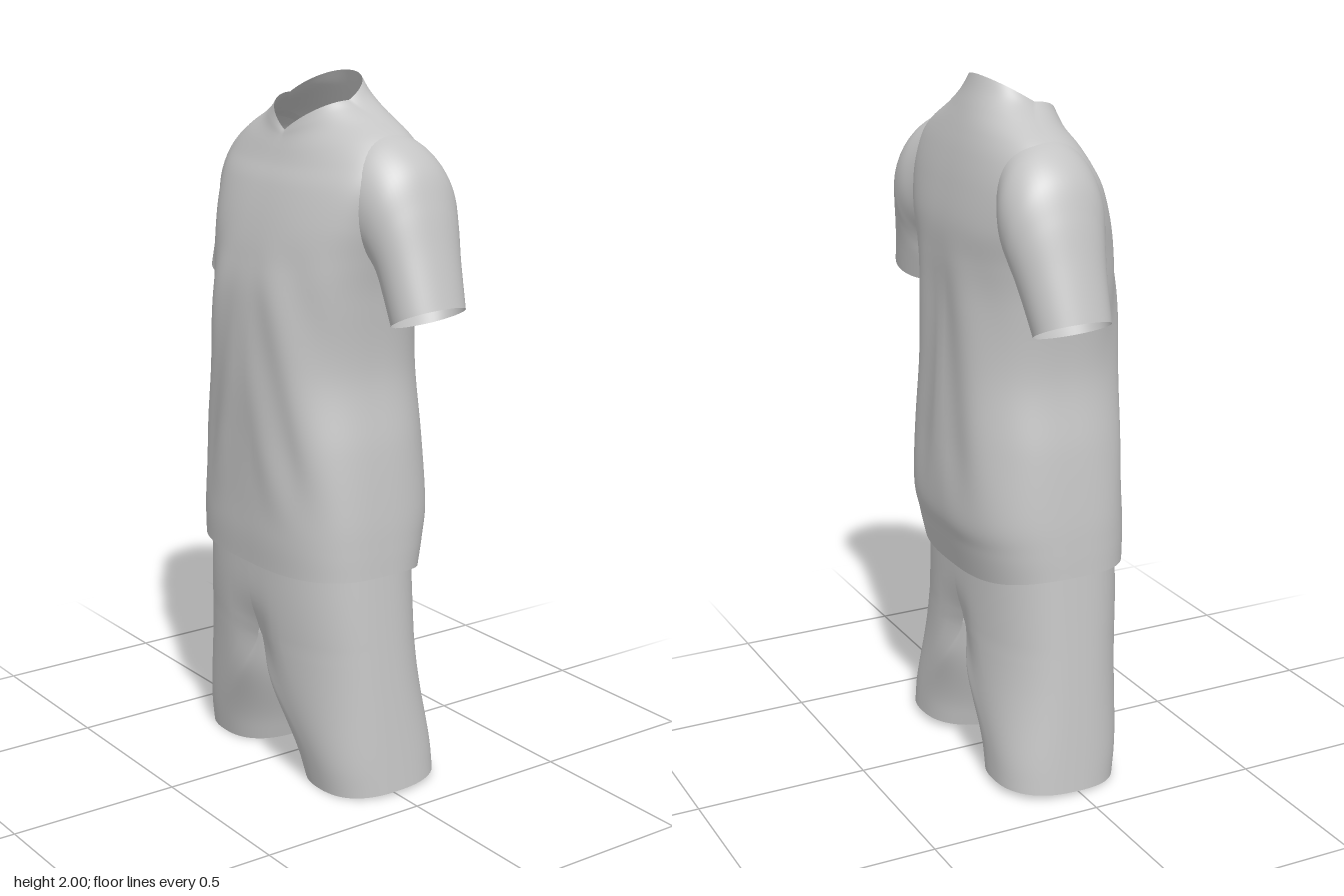
import * as THREE from 'three';

const { lerp, smoothstep } = THREE.MathUtils;
const fabric = new THREE.MeshStandardMaterial({ color: 0xc4c4c4, side: THREE.DoubleSide });
fabric.name = 'light grey fabric';

// Signed power, for superellipse sections
const spow = (c, n) => Math.sign(c) * Math.pow(Math.abs(c), 2 / n);

// Smooth interpolation through rows of section parameters, t from 0 to 1
function sections(rows) {
  const times = Float32Array.from(rows, (_, i) => i / (rows.length - 1));
  const curve = new THREE.CubicInterpolant(times, Float32Array.from(rows.flat()), rows[0].length);
  return (t) => Array.from(curve.evaluate(t));
}

// Open-ended tube surface from closed rings; point(v, angle) returns [x, y, z]
function ringSurface(name, rows, cols, point, flip = false, skip = () => false) {
  const pos = [], index = [];
  for (let i = 0; i <= rows; i++) {
    for (let j = 0; j < cols; j++) pos.push(...point(i / rows, (j / cols) * Math.PI * 2));
  }
  for (let i = 0; i < rows; i++) {
    for (let j = 0; j < cols; j++) {
      if (skip(i / rows, ((j + 0.5) / cols) * Math.PI * 2)) continue;
      const a = i * cols + j, b = i * cols + (j + 1) % cols, c = a + cols, d = b + cols;
      if (flip) index.push(a, b, c, b, d, c);
      else index.push(a, c, b, b, c, d);
    }
  }
  const geo = new THREE.BufferGeometry();
  geo.setAttribute('position', new THREE.Float32BufferAttribute(pos, 3));
  geo.setIndex(index);
  geo.computeVertexNormals();
  const mesh = new THREE.Mesh(geo, fabric);
  mesh.name = name;
  return mesh;
}

// Shirt body: front y, side y, back y, half width, front z, back z, widest z, exponent, neck vee
const bodyAt = sections([
  [0.637, 0.645, 0.605, 0.36, 0.243, -0.212, 0.02, 2.8, 0],
  [0.72, 0.72, 0.70, 0.356, 0.247, -0.235, 0.02, 2.8, 0],
  [0.82, 0.82, 0.79, 0.348, 0.247, -0.254, 0.02, 2.8, 0],
  [1.0, 1.0, 1.0, 0.326, 0.25, -0.248, 0.01, 2.7, 0],
  [1.2, 1.2, 1.2, 0.293, 0.255, -0.243, 0, 2.6, 0],
  [1.4, 1.4, 1.4, 0.303, 0.248, -0.24, 0, 2.6, 0],
  [1.52, 1.52, 1.52, 0.322, 0.228, -0.24, -0.01, 2.6, 0],
  [1.62, 1.62, 1.62, 0.345, 0.202, -0.237, -0.03, 2.7, 0],
  [1.71, 1.72, 1.72, 0.365, 0.17, -0.22, -0.05, 2.6, 0],
  [1.765, 1.79, 1.80, 0.355, 0.142, -0.2, -0.06, 2.4, 0],
  [1.805, 1.845, 1.86, 0.305, 0.124, -0.18, -0.06, 2.2, 0.2],
  [1.83, 1.888, 1.915, 0.225, 0.112, -0.158, -0.05, 2, 0.5],
  [1.842, 1.915, 1.96, 0.17, 0.106, -0.138, -0.03, 2, 0.8],
  [1.85, 1.935, 2.0, 0.14, 0.10, -0.122, -0.015, 2, 1],
]);

function bodyPoint(v, angle) {
  const [yF, yS, yB, a, zF, zB, zC, n, vee] = bodyAt(v);
  const c = Math.cos(angle), s = Math.sin(angle);
  const x = a * spow(c, n);
  const y = s > 0
    ? lerp(yS, yF, lerp(s * s, 1 - Math.abs(c), vee))
    : lerp(yS, yB, lerp(s * s, -s, vee));
  let z = zC + Math.abs(spow(s, n)) * ((s > 0 ? zF : zB) - zC);
  // Drape folds: diagonal on the front, upright on the back
  const drape = smoothstep(y, 0.75, 1.0) * (1 - smoothstep(y, 1.35, 1.6)) * Math.abs(s);
  if (s > 0) z += 0.009 * drape * Math.min(1, Math.abs(x) / 0.2) * Math.sin(34 * (Math.abs(x) + 0.33 * y));
  else z += 0.006 * drape * Math.sin(30 * Math.abs(x) + 5 * y);
  return [x, y, z];
}

// Sleeve: outer x, outer y, inner x, inner y, front z, back z
const sleeveAt = sections([
  [0.24, 1.872, 0.24, 1.55, 0.085, -0.18],
  [0.325, 1.838, 0.285, 1.51, 0.09, -0.208],
  [0.395, 1.775, 0.312, 1.48, 0.08, -0.21],
  [0.438, 1.68, 0.326, 1.45, 0.066, -0.198],
  [0.476, 1.56, 0.338, 1.41, 0.056, -0.183],
  [0.52, 1.42, 0.365, 1.345, 0.05, -0.168],
]);

function sleevePoint(side, v, angle) {
  const [ox, oy, ix, iy, zF, zB] = sleeveAt(v);
  const k = (1 + spow(Math.cos(angle), 2.1)) / 2;
  const z = (zF + zB) / 2 + spow(Math.sin(angle), 2.1) * (zF - zB) / 2;
  return [side * lerp(ix, ox, k), lerp(iy, oy, k), z];
}

// Shorts: each half is a D section at the hips that becomes a round leg below the crotch
const shortsTop = 0.72, crotch = 0.4;

function shortsPoint(side, v, angle) {
  const y = v * shortsTop;
  const c = Math.cos(angle), s = Math.sin(angle);
  const xOut = lerp(0.407, 0.35, y / 0.64);
  const xIn = 0.088 * Math.pow(Math.max(0, 1 - y / crotch), 1.15);
  const zF = lerp(0.16, 0.232, Math.sin(Math.min(1, y / 0.6) * Math.PI / 2));
  const zB = -0.2;
  const z = (zF + zB) / 2 + spow(s, 2.5) * (zF - zB) / 2;
  const hipX = c > 0 ? xOut * spow(c, 2.6) : 0;
  const legX = (xIn + xOut) / 2 + spow(c, 2.4) * (xOut - xIn) / 2;
  const round = 1 - smoothstep(y, 0.05, crotch + 0.06);
  // Crease between the legs, fading out above the crotch
  const crease = 0.03 * Math.exp(-Math.pow((y - crotch) / 0.09, 2)) * Math.exp(-Math.pow(hipX / 0.06, 2));
  const hem = 0.009 * (1 - s) * Math.max(0, 1 - y / 0.3);
  return [side * Math.max(xIn, lerp(hipX, legX, round * (y < crotch ? 1 : smoothstep(crotch + 0.02 - y, 0, 0.02)))),
    y + hem, z - Math.sign(s) * Math.min(crease, Math.abs(z))];
}

export function createModel() {
  const model = new THREE.Group();
  model.name = 'sportsOutfit';

  const shirt = new THREE.Group();
  shirt.name = 'shirt';
  shirt.add(ringSurface('shirtBody', 104, 128, bodyPoint));

  const shorts = new THREE.Group();
  shorts.name = 'shorts';

  for (const side of [1, -1]) {
    const label = side > 0 ? 'left' : 'right';
    shirt.add(ringSurface(label + 'Sleeve', 36, 56, (v, t) => sleevePoint(side, v, t), side > 0));
    // No inner wall above the crotch
    shorts.add(ringSurface(label + 'ShortsLeg', 36, 64, (v, t) => shortsPoint(side, v, t), side < 0,
      (v, t) => v * shortsTop > crotch - 0.001 && Math.cos(t) < 0));
  }

  model.add(shirt, shorts);
  return model;
}
